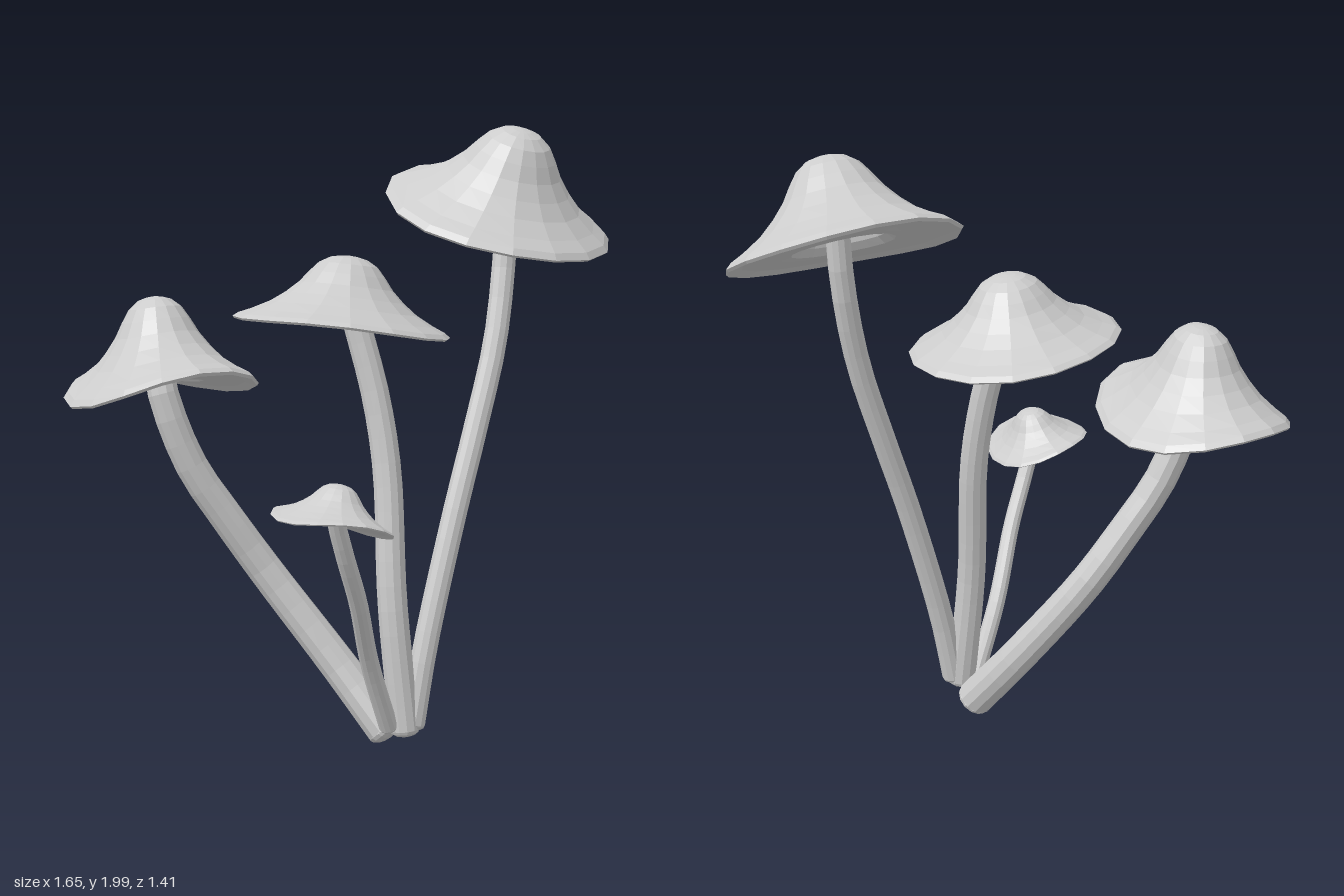
import * as THREE from 'three';

const material = new THREE.MeshStandardMaterial({ color: 0xcccccc, flatShading: true, side: THREE.DoubleSide });

// Bell profile in units of cap radius and cap height: a hollow around the stem,
// a level underside out to the rim, then the top
const under = [[0, 0.72], [0.14, 0.68], [0.25, 0.52], [0.33, 0.28], [0.38, 0.1], [0.44, 0.02],
  [0.55, 0.01], [0.7, 0.01], [0.86, 0], [0.98, -0.04]];
const top = [[1, -0.01], [0.95, 0.05], [0.83, 0.13], [0.67, 0.26], [0.54, 0.41], [0.43, 0.57],
  [0.35, 0.73], [0.27, 0.87], [0.17, 0.96], [0.08, 0.99], [0, 1]];

// Cap: lathed bell, made oval (skew turns the oval), its brim bent into a gentle saddle, then tilted
function makeCap({ center, rx, rz, height, skew = 0, tiltX = 0, tiltZ = 0, saddle = 0, wave = 0 }) {
  const points = [...under, ...top].map(([r, h]) => new THREE.Vector2(r, h * height));
  const geometry = new THREE.LatheGeometry(points, 16, Math.PI / 16);
  const pos = geometry.attributes.position;
  for (let i = 0; i < pos.count; i++) {
    const x = pos.getX(i), z = pos.getZ(i);
    const r = Math.hypot(x, z), a = Math.atan2(z, x);
    const lift = (saddle * Math.cos(2 * a) + wave * Math.sin(3 * a + 1)) * r * r;
    pos.setXYZ(i, x * rx + z * skew, pos.getY(i) + lift, z * rz + x * skew);
  }
  geometry.computeVertexNormals();
  const cap = new THREE.Mesh(geometry, material);
  cap.name = 'cap';
  cap.position.set(...center);
  // tiltX and tiltZ are the lean of the cap axis towards +x and +z
  cap.rotation.set(Math.atan(tiltZ), 0, -Math.atan(tiltX));
  return cap;
}

// Stem: bent tube with a rounded foot, tapering slightly from foot to cap
function makeStem(path, radius, taper) {
  const curve = new THREE.CatmullRomCurve3(path.map(p => new THREE.Vector3(...p)));
  const rings = 18, sides = 12;
  const geometry = new THREE.TubeGeometry(curve, rings, radius, sides);
  const pos = geometry.attributes.position;
  const v = new THREE.Vector3();
  for (let i = 0; i < pos.count; i++) {
    const t = Math.floor(i / (sides + 1)) / rings;
    const c = curve.getPointAt(t);
    v.fromBufferAttribute(pos, i).sub(c).multiplyScalar(1 + (taper - 1) * t).add(c);
    pos.setXYZ(i, v.x, v.y, v.z);
  }
  geometry.computeVertexNormals();
  const stem = new THREE.Group();
  stem.name = 'stem';
  const shaft = new THREE.Mesh(geometry, material);
  shaft.name = 'stemShaft';
  const foot = new THREE.Mesh(new THREE.SphereGeometry(radius, sides, 8), material);
  foot.name = 'stemFoot';
  foot.scale.y = 0.5;
  foot.position.copy(curve.getPointAt(0));
  foot.quaternion.setFromUnitVectors(new THREE.Vector3(0, 1, 0), curve.getTangentAt(0));
  stem.add(shaft, foot);
  return stem;
}

const mushrooms = [
  {
    name: 'tallMushroom', radius: 0.041, taper: 0.95,
    path: [[0, 0.1, 0.31], [0.05, 0.34, 0.31], [0.175, 0.76, 0.305], [0.275, 1.04, 0.295],
      [0.37, 1.315, 0.28], [0.435, 1.6, 0.25], [0.45, 1.84, 0.25]],
    cap: { center: [0.452, 1.715, 0.199], rx: 0.38, rz: 0.38, height: 0.295, tiltZ: 0.4, saddle: -0.01, wave: 0.004 },
  },
  {
    name: 'middleMushroom', radius: 0.05, taper: 0.88,
    path: [[-0.025, 0.085, 0.3], [-0.045, 0.5, 0.26], [-0.02, 0.92, 0.2], [-0.03, 1.15, 0.155],
      [-0.06, 1.36, 0.105], [-0.08, 1.47, 0.08]],
    cap: { center: [-0.098, 1.37, 0.068], rx: 0.36, rz: 0.36, skew: -0.011, height: 0.225, tiltX: 0.14, wave: 0.005 },
  },
  {
    name: 'backMushroom', radius: 0.064, taper: 0.77,
    path: [[-0.013, 0.055, 0.19], [-0.09, 0.25, 0.04], [-0.245, 0.55, -0.14], [-0.36, 0.74, -0.205],
      [-0.465, 0.92, -0.255], [-0.54, 1.16, -0.3], [-0.53, 1.31, -0.35]],
    cap: { center: [-0.515, 1.175, -0.348], rx: 0.318, rz: 0.357, skew: -0.016, height: 0.285, tiltZ: -0.11, saddle: -0.043, wave: 0.004 },
  },
  {
    name: 'smallMushroom', radius: 0.031, taper: 0.88,
    path: [[-0.08, 0.1, 0.285], [-0.195, 0.34, 0.33], [-0.31, 0.57, 0.415], [-0.395, 0.73, 0.46],
      [-0.445, 0.85, 0.48], [-0.465, 0.91, 0.495]],
    cap: { center: [-0.473, 0.847, 0.5], rx: 0.18, rz: 0.205, skew: -0.004, height: 0.118, tiltX: 0.27, saddle: -0.018, wave: 0.003 },
  },
];

export function createModel() {
  const model = new THREE.Group();
  model.name = 'mushroomCluster';
  for (const { name, radius, taper, path, cap } of mushrooms) {
    const mushroom = new THREE.Group();
    mushroom.name = name;
    mushroom.add(makeStem(path, radius, taper), makeCap(cap));
    model.add(mushroom);
  }
  return model;
}
